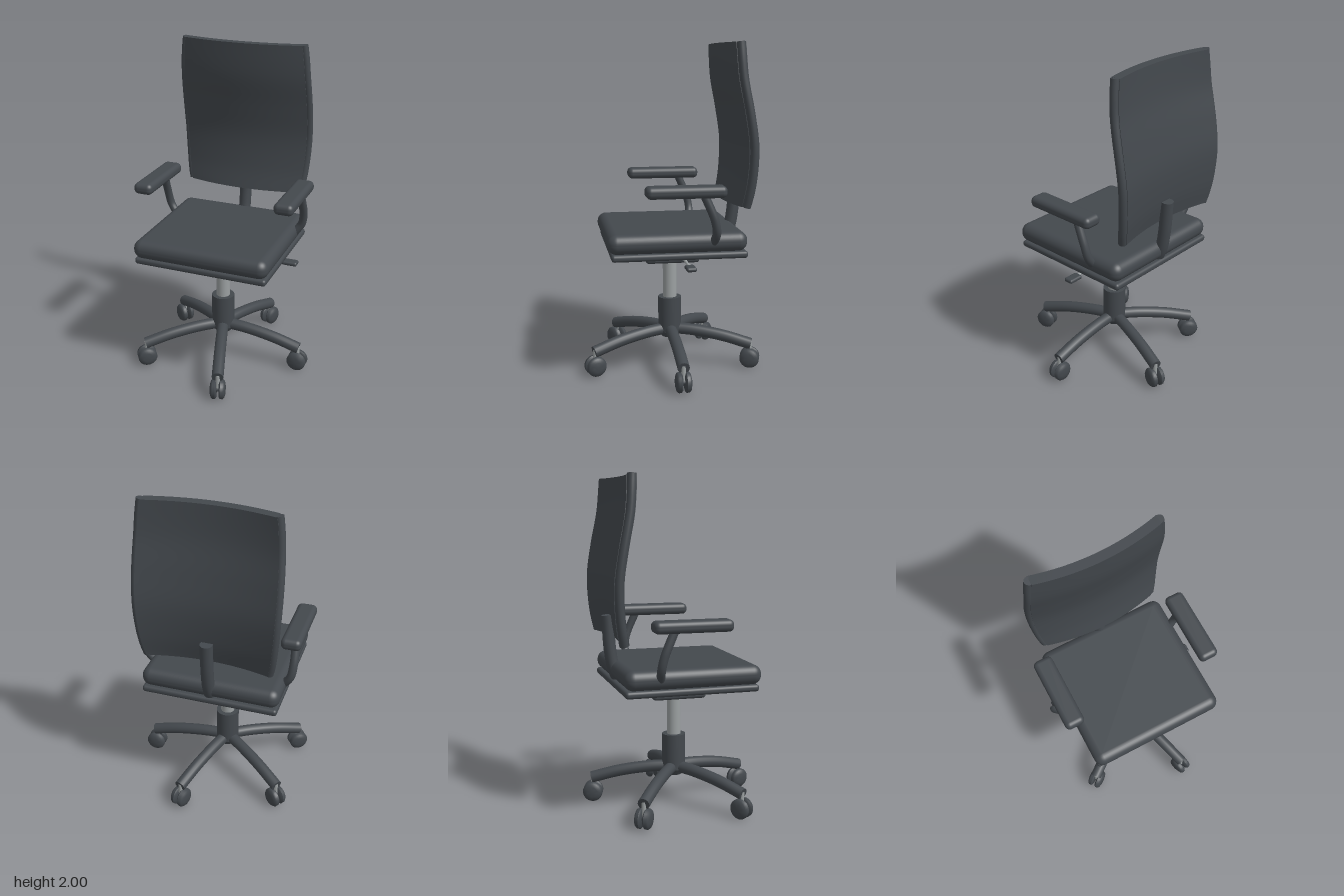
import * as THREE from 'three';
import { toCreasedNormals } from 'three/addons/utils/BufferGeometryUtils.js';
import { RoundedBoxGeometry } from 'three/addons/geometries/RoundedBoxGeometry.js';

const dark = new THREE.MeshStandardMaterial({ color: 0x43484d });
dark.name = 'charcoal';
const metal = new THREE.MeshStandardMaterial({ color: 0x9ba0a1 });
metal.name = 'light grey metal';

function add(parent, name, geometry, material, x = 0, y = 0, z = 0) {
  const mesh = new THREE.Mesh(geometry, material);
  mesh.name = name;
  mesh.position.set(x, y, z);
  parent.add(mesh);
  return mesh;
}

// Round bar through points, closed by a flat disc at each end
function addBar(parent, name, points, radius, material) {
  const group = new THREE.Group();
  group.name = name;
  const curve = new THREE.CatmullRomCurve3(points.map((p) => new THREE.Vector3(...p)));
  add(group, name + 'Bar', new THREE.TubeGeometry(curve, 24, radius, 16), material);
  for (const t of [0, 1]) {
    const end = curve.getPointAt(t);
    const cap = add(group, name + 'Cap', new THREE.CircleGeometry(radius, 16), material, end.x, end.y, end.z);
    cap.lookAt(end.clone().addScaledVector(curve.getTangentAt(t), t ? 1 : -1));
  }
  parent.add(group);
  return group;
}

// Depth of the backrest's middle line, by height
const backCurve = new THREE.SplineCurve([
  [1.055, -0.345], [1.2, -0.37], [1.4, -0.378], [1.6, -0.35], [1.8, -0.312], [2, -0.297],
].map(([y, z]) => new THREE.Vector2(y, z)));
const backAt = (t) => backCurve.getPoint(t);
const halfWidthAt = (t) => 0.388 + 0.012 * t + 0.14 * t * (1 - t);
const BOW = 0.05;

function backPanel() {
  const geometry = new THREE.BoxGeometry(2, 1, 0.058, 28, 28, 1);
  const p = geometry.attributes.position;
  for (let i = 0; i < p.count; i++) {
    const u = p.getX(i);
    const t = p.getY(i) + 0.5;
    const c = backAt(t);
    p.setXYZ(i, u * (halfWidthAt(t) - 0.025), c.x, c.y - BOW * u * u + p.getZ(i));
  }
  return toCreasedNormals(geometry, 0.7);
}

function caster() {
  const group = new THREE.Group();
  group.name = 'caster';
  add(group, 'casterStem', new THREE.CylinderGeometry(0.014, 0.014, 0.09, 12), metal, 0, 0.115, 0);
  const axle = add(group, 'casterAxle', new THREE.CylinderGeometry(0.018, 0.018, 0.05, 12), dark, 0, 0.062, 0);
  axle.rotation.x = Math.PI / 2;
  // Domed wheel, turned about its axle
  const profile = [[0, -0.018], [0.052, -0.018], [0.061, -0.01], [0.061, 0.004], [0.052, 0.015], [0.03, 0.021], [0, 0.023]]
    .map(([r, h]) => new THREE.Vector2(r, h));
  const wheel = toCreasedNormals(new THREE.LatheGeometry(profile, 24), 0.8);
  for (const s of [-1, 1]) {
    add(group, 'casterWheel', wheel, dark, 0, 0.061, s * 0.026).rotation.x = s * Math.PI / 2;
  }
  return group;
}

export function createModel() {
  const root = new THREE.Group();
  root.name = 'officeChair';
  const chair = new THREE.Group();
  chair.name = 'chair';
  chair.position.x = -0.03;
  root.add(chair);

  // Five-legged base with twin-wheel casters
  for (let i = 0; i < 5; i++) {
    const leg = new THREE.Group();
    leg.name = 'baseLeg';
    leg.rotation.y = i * Math.PI * 2 / 5;
    addBar(leg, 'legBeam', [[0.03, 0.23, 0], [0.16, 0.222, 0], [0.34, 0.194, 0], [0.515, 0.148, 0]], 0.036, dark);
    const wheels = caster();
    wheels.position.x = 0.508;
    leg.add(wheels);
    chair.add(leg);
  }

  // Column
  const hub = [[0, 0.18], [0.05, 0.18], [0.072, 0.215], [0.072, 0.437], [0, 0.437]].map(([r, y]) => new THREE.Vector2(r, y));
  add(chair, 'columnHub', toCreasedNormals(new THREE.LatheGeometry(hub, 32), 0.5), dark);
  add(chair, 'gasLift', new THREE.CylinderGeometry(0.043, 0.043, 0.27, 32), metal, 0, 0.56, 0);

  // Tilt mechanism and lever
  add(chair, 'tiltMechanism', new RoundedBoxGeometry(0.28, 0.075, 0.33, 3, 0.018), dark, 0, 0.715, 0);
  add(chair, 'mechanismNeck', new THREE.CylinderGeometry(0.045, 0.045, 0.04, 24), dark, 0, 0.76, 0);
  addBar(chair, 'lever', [[0.1, 0.73, -0.05], [0.25, 0.727, -0.05], [0.4, 0.716, -0.055]], 0.009, metal);
  add(chair, 'leverHandle', new RoundedBoxGeometry(0.095, 0.026, 0.06, 3, 0.012), dark, 0.425, 0.715, -0.055);

  // Seat
  add(chair, 'seatPlate', new RoundedBoxGeometry(0.835, 0.042, 0.8, 3, 0.018), dark, 0, 0.781, 0);
  add(chair, 'seatCushion', new RoundedBoxGeometry(0.85, 0.117, 0.82, 5, 0.055), dark, 0, 0.857, 0.01);

  // Backrest panel, side rails and support
  add(chair, 'backrestPanel', backPanel(), dark);
  for (const s of [-1, 1]) {
    const points = [];
    for (let i = 0; i <= 10; i++) {
      const c = backAt(i / 10);
      points.push([s * (halfWidthAt(i / 10) - 0.022), c.x, c.y - BOW]);
    }
    addBar(chair, 'backrestRail', points, 0.026, dark);
  }
  addBar(chair, 'backSupport', [[0, 0.76, -0.325], [0, 0.86, -0.375], [0, 0.98, -0.398], [0, 1.19, -0.412]], 0.038, dark);

  // Armrests
  for (const s of [-1, 1]) {
    addBar(chair, 'armPost', [[s * 0.405, 0.86, -0.195], [s * 0.447, 0.92, -0.203], [s * 0.46, 1.0, -0.188], [s * 0.455, 1.15, -0.125]], 0.025, dark);
    add(chair, 'armPad', new RoundedBoxGeometry(0.12, 0.07, 0.465, 4, 0.03), dark, s * 0.447, 1.165, -0.022);
  }
  return root;
}
